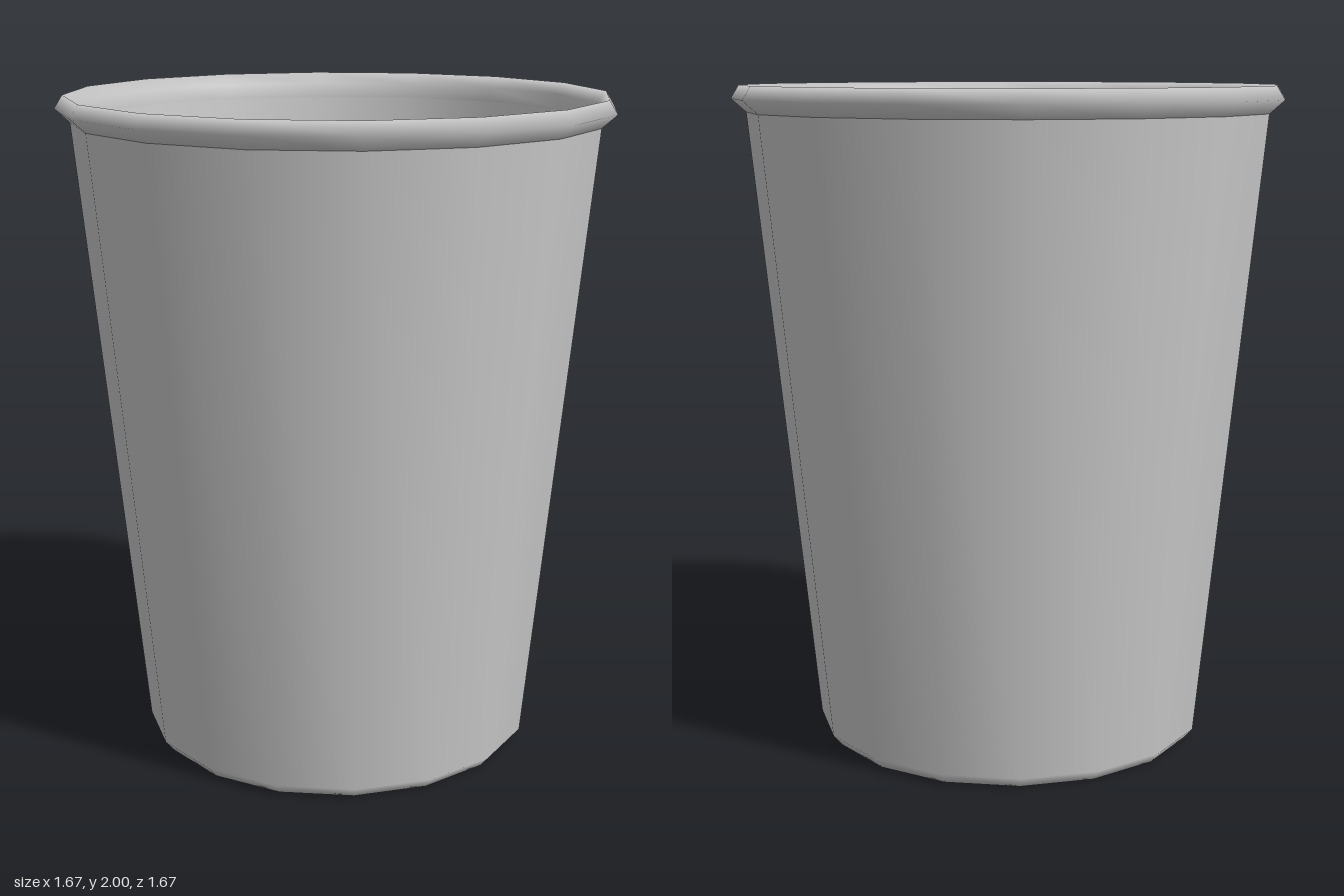
import * as THREE from 'three';

const SIDES = 16;

// Revolves [radius, height] pairs into a smooth, 16-sided part
function lathe(name, profile, material) {
  const points = profile.map(([r, y]) => new THREE.Vector2(r, y));
  const mesh = new THREE.Mesh(new THREE.LatheGeometry(points, SIDES), material);
  mesh.name = name;
  return mesh;
}

export function createModel() {
  const group = new THREE.Group();
  group.name = 'cup';
  const material = new THREE.MeshStandardMaterial({ color: 0xcccccc });

  // Underside, bevelled foot and tapering outer wall
  group.add(lathe('outerWall', [[0, 0], [0.57, 0], [0.6, 0.035], [0.79, 1.92]], material));

  // Rolled lip
  group.add(lathe('rim', [[0.79, 1.92], [0.835, 1.96], [0.81, 2], [0.785, 1.965], [0.783, 1.92]], material));

  // Inner wall and floor, just inside the outer skin
  group.add(lathe('innerWall', [[0.783, 1.92], [0.593, 0.04], [0.567, 0.008], [0, 0.008]], material));

  return group;
}
